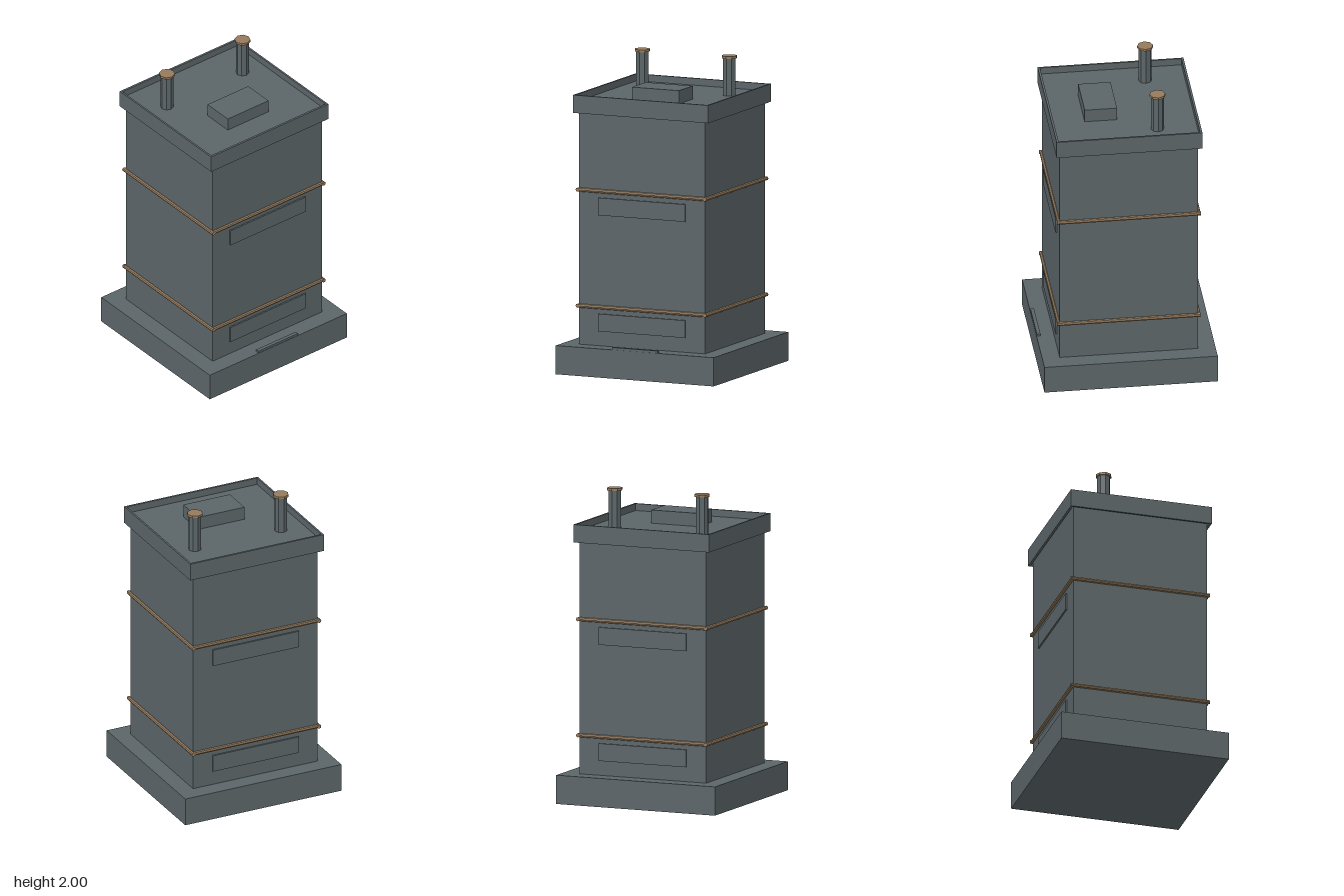
import * as THREE from 'three';

export function createModel() {
  const model = new THREE.Group();
  const slate = new THREE.MeshStandardMaterial({ color: 0x5b6568 });
  slate.name = 'slate paint';
  const copper = new THREE.MeshStandardMaterial({ color: 0x957b5d });
  copper.name = 'copper trim';

  function add(name, geometry, material, x, y, z) {
    const mesh = new THREE.Mesh(geometry, material);
    mesh.name = name;
    mesh.position.set(x, y, z);
    model.add(mesh);
    return mesh;
  }

  // Box given by its limits on each axis
  function box(name, [x0, x1], [y0, y1], [z0, z1], material = slate) {
    return add(name, new THREE.BoxGeometry(x1 - x0, y1 - y0, z1 - z0), material,
      (x0 + x1) / 2, (y0 + y1) / 2, (z0 + z1) / 2);
  }

  // Eight-sided rod with flat faces
  function rod(radius, length) {
    const g = new THREE.CylinderGeometry(radius, radius, length, 8).toNonIndexed();
    g.computeVertexNormals();
    return g;
  }

  // Base, ledge and tall square body
  box('base', [-0.555, 0.555], [0, 0.185], [-0.555, 0.555]);
  box('entranceLedge', [-0.16, 0.16], [0.18, 0.2], [0.53, 0.553]);
  box('body', [-0.443, 0.443], [0.185, 1.73], [-0.443, 0.443]);

  // Roof deck, sunk inside an overhanging rim that is open below
  box('roofDeck', [-0.465, 0.465], [1.72, 1.745], [-0.455, 0.455]);
  const rim = new THREE.Shape([
    new THREE.Vector2(-0.475, -0.467), new THREE.Vector2(0.475, -0.467),
    new THREE.Vector2(0.475, 0.467), new THREE.Vector2(-0.475, 0.467),
  ]);
  rim.holes.push(new THREE.Path([
    new THREE.Vector2(-0.463, -0.453), new THREE.Vector2(-0.463, 0.453),
    new THREE.Vector2(0.463, 0.453), new THREE.Vector2(0.463, -0.453),
  ]));
  const rimGeometry = new THREE.ExtrudeGeometry(rim, { depth: 0.115, bevelEnabled: false });
  rimGeometry.rotateX(-Math.PI / 2);
  add('roofRim', rimGeometry, slate, 0, 1.675, 0);
  box('roofHatch', [-0.165, 0.165], [1.74, 1.83], [0.04, 0.247]);

  // Chimney pipes with copper caps
  for (const x of [-0.303, 0.308]) {
    add('pipe', rod(0.042, 0.255), slate, x, 1.865, -0.2);
    add('pipeCap', rod(0.051, 0.015), copper, x, 1.9925, -0.2);
  }

  // Copper rods around the body, with panels below them on front and back
  for (const y of [0.434, 1.181]) {
    for (const side of [-1, 1]) {
      add('bandAcross', rod(0.013, 0.9), copper, 0, y, side * 0.447).rotation.z = Math.PI / 2;
      add('bandAlong', rod(0.013, 0.92), copper, side * 0.447, y, 0).rotation.x = Math.PI / 2;
      add('panel', new THREE.BoxGeometry(0.61, 0.112, 0.014), slate, 0, y - 0.099, side * 0.446);
    }
  }
  return model;
}
